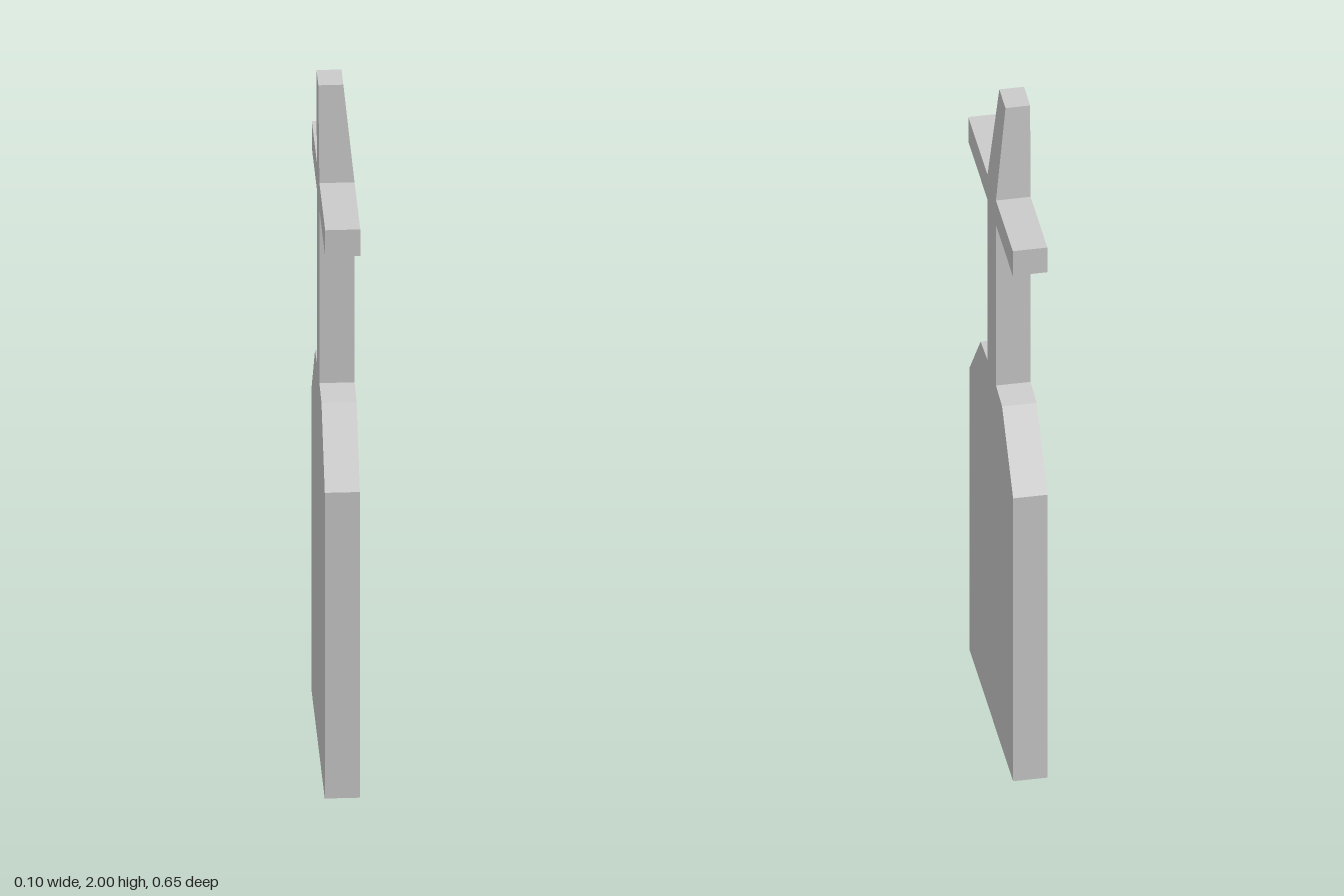
import * as THREE from 'three';

const HALF = 0.047; // half thickness in x

// Extrudes a side outline of [z, y] points across the thickness
function slab(name, points, material) {
  const shape = new THREE.Shape(points.map(([z, y]) => new THREE.Vector2(z, y)));
  const geo = new THREE.ExtrudeGeometry(shape, { depth: 2 * HALF, bevelEnabled: false });
  geo.rotateY(-Math.PI / 2).translate(HALF, 0, 0);
  const mesh = new THREE.Mesh(geo, material);
  mesh.name = name;
  return mesh;
}

export function createModel() {
  const group = new THREE.Group();
  group.name = 'crossToppedSlab';
  const material = new THREE.MeshStandardMaterial({ color: 0xcccccc, flatShading: true });

  // Wide slab with sloped shoulders
  group.add(slab('body', [
    [0.305, 0], [0.305, 0.917], [0.147, 1.107], [0.047, 1.115],
    [-0.076, 1.115], [-0.165, 1.107], [-0.325, 0.917], [-0.325, 0],
  ], material));

  // Upright shaft with the crossbar
  group.add(slab('shaftAndCrossbar', [
    [0.047, 1.115], [0.047, 1.635], [0.325, 1.635], [0.325, 1.715],
    [-0.32, 1.715], [-0.32, 1.635], [-0.076, 1.635], [-0.076, 1.115],
  ], material));

  // Tapered tip, leaning toward -x: a box with its corners moved
  const geo = new THREE.BoxGeometry(1, 1, 1);
  const pos = geo.attributes.position;
  for (let i = 0; i < pos.count; i++) {
    const top = pos.getY(i) > 0;
    const [x0, x1, z0, z1] = top ? [-0.049, 0.018, -0.06, 0.03] : [-HALF, HALF, -0.076, 0.047];
    pos.setXYZ(i, pos.getX(i) > 0 ? x1 : x0, top ? 2 : 1.715, pos.getZ(i) > 0 ? z1 : z0);
  }
  geo.computeVertexNormals();
  const tip = new THREE.Mesh(geo, material);
  tip.name = 'tip';
  group.add(tip);

  return group;
}
